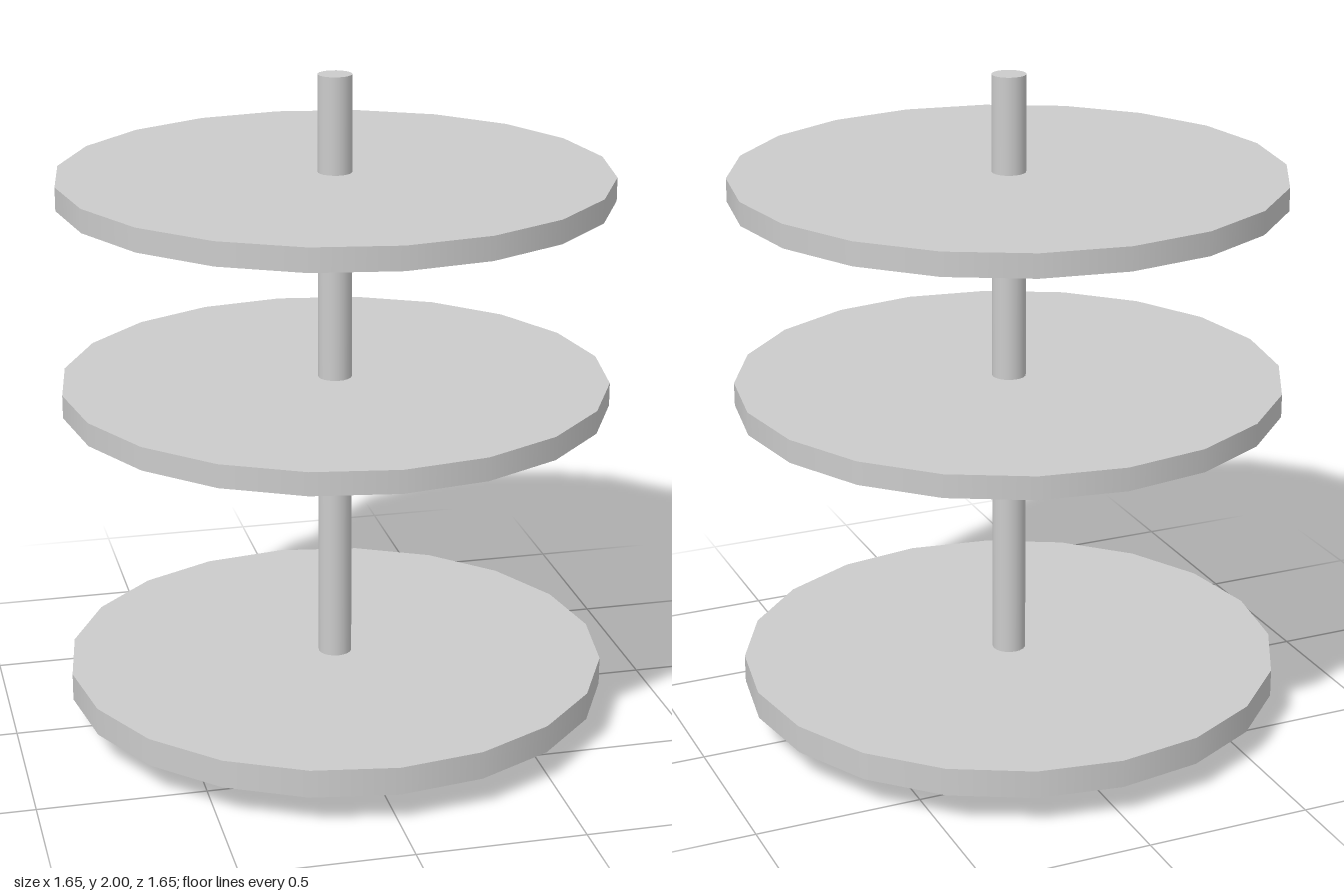
import * as THREE from 'three';

export function createModel() {
  const model = new THREE.Group();
  model.name = 'tieredStand';
  const material = new THREE.MeshStandardMaterial({ color: 0xcccccc });

  // Upright cylinder between two heights
  function addCylinder(name, radius, bottom, top) {
    const geometry = new THREE.CylinderGeometry(radius, radius, top - bottom, 20);
    const mesh = new THREE.Mesh(geometry, material);
    mesh.name = name;
    mesh.position.y = (bottom + top) / 2;
    model.add(mesh);
  }

  // Central pole running through all tiers
  addCylinder('pole', 0.051, 0, 2);

  // Round shelves; the lowest is slightly thicker
  addCylinder('bottomShelf', 0.823, 0.095, 0.18);
  addCylinder('middleShelf', 0.823, 1.01, 1.08);
  addCylinder('topShelf', 0.823, 1.64, 1.71);

  return model;
}
